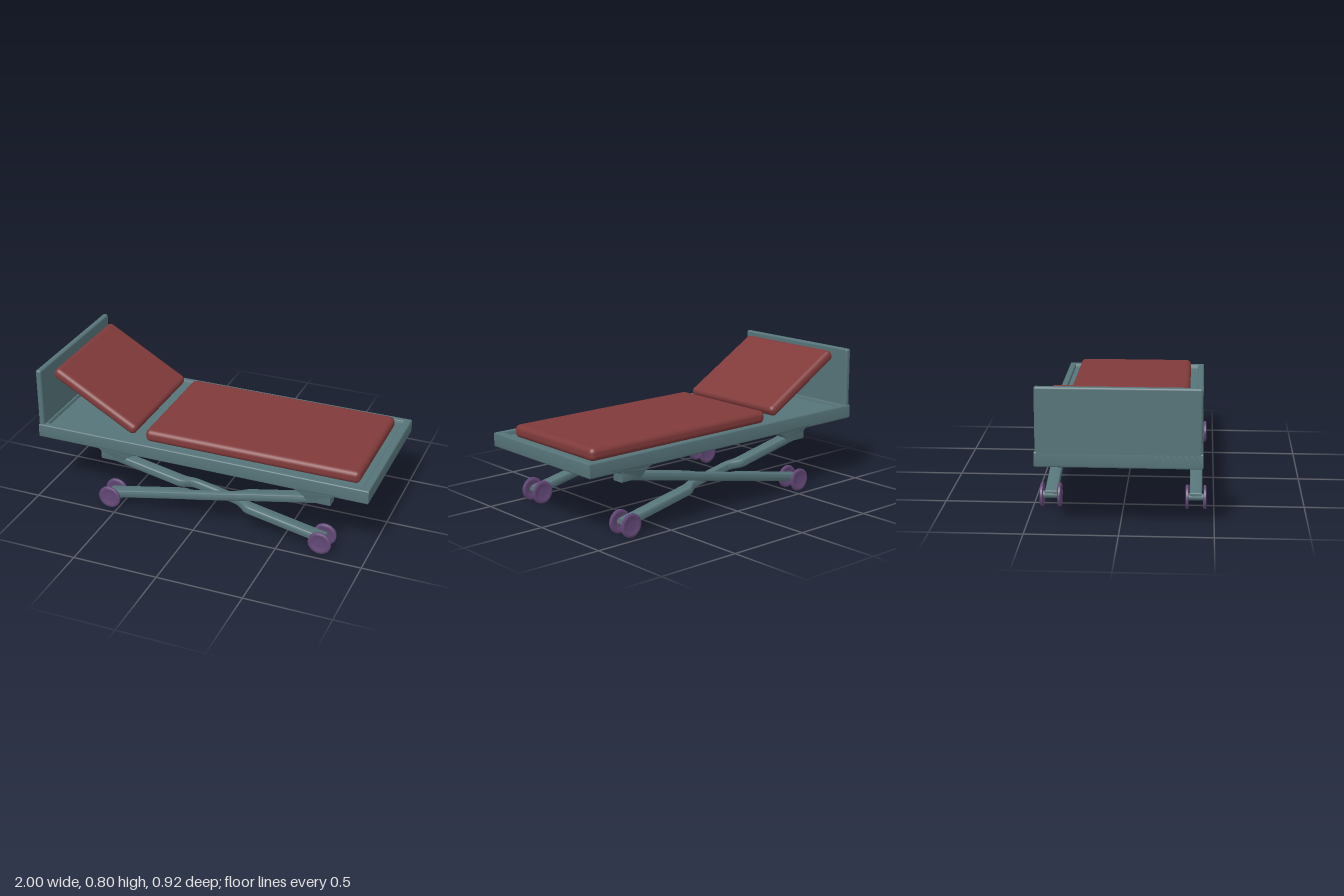
import * as THREE from 'three';
import { RoundedBoxGeometry } from 'three/addons/geometries/RoundedBoxGeometry.js';
import { toCreasedNormals } from 'three/addons/utils/BufferGeometryUtils.js';

const steel = new THREE.MeshStandardMaterial({ color: 0x567479 });
const padding = new THREE.MeshStandardMaterial({ color: 0x803a3a });
const rubber = new THREE.MeshStandardMaterial({ color: 0x634876 });

function add(parent, name, geometry, material, x = 0, y = 0, z = 0) {
  const mesh = new THREE.Mesh(geometry, material);
  mesh.name = name;
  mesh.position.set(x, y, z);
  parent.add(mesh);
  return mesh;
}

const rounded = (w, h, d, r) => new RoundedBoxGeometry(w, h, d, 4, r);

// Extrusion centred on its depth, with rounded edges kept inside the outline
function extrude(shape, depth, bevel) {
  const g = new THREE.ExtrudeGeometry(shape, {
    depth: depth - 2 * bevel, bevelSize: bevel, bevelThickness: bevel,
    bevelOffset: -bevel, bevelSegments: 4, curveSegments: 8,
  });
  g.translate(0, 0, bevel - depth / 2);
  return toCreasedNormals(g, 0.7);
}

function rectPath(path, x0, x1, z) {
  path.moveTo(x0, -z);
  path.lineTo(x1, -z);
  path.lineTo(x1, z);
  path.lineTo(x0, z);
  path.closePath();
  return path;
}

// Plan outline of a leg: full width at the ends, stepped aside at the crossing
function legGeometry(midInner, midOuter) {
  const inner = 0.365, outer = 0.435, end = 0.675;
  const s = new THREE.Shape();
  s.moveTo(-end, inner);
  s.lineTo(-0.22, inner);
  s.bezierCurveTo(-0.17, inner, -0.17, midInner, -0.11, midInner);
  s.lineTo(0.11, midInner);
  s.bezierCurveTo(0.17, midInner, 0.17, inner, 0.22, inner);
  s.lineTo(end, inner);
  s.lineTo(end, outer);
  s.lineTo(0.22, outer);
  s.bezierCurveTo(0.17, outer, 0.17, midOuter, 0.11, midOuter);
  s.lineTo(-0.11, midOuter);
  s.bezierCurveTo(-0.17, midOuter, -0.17, outer, -0.22, outer);
  s.lineTo(-end, outer);
  s.closePath();
  return extrude(s, 0.048, 0.012).rotateX(Math.PI / 2);
}

// Side profile of a leg bracket, flaring into the frame
function bracketGeometry() {
  const s = new THREE.Shape();
  s.moveTo(-0.17, 0.07);
  s.quadraticCurveTo(-0.093, 0.065, -0.093, 0.04);
  s.lineTo(-0.093, 0);
  s.lineTo(0.04, 0);
  s.quadraticCurveTo(0.07, 0.05, 0.15, 0.07);
  s.closePath();
  return extrude(s, 0.077, 0.006);
}

// Dished wheel disc turned about the z axis
function wheelGeometry() {
  const r = 0.067, t = 0.009;
  const half = [[0, 0.004], [0.022, 0.004], [0.04, 0.005], [0.05, t], [0.062, t], [r, 0.005]];
  const points = half.map(([x, y]) => new THREE.Vector2(x, -y))
    .concat(half.slice().reverse().map(([x, y]) => new THREE.Vector2(x, y)));
  return toCreasedNormals(new THREE.LatheGeometry(points, 32).rotateX(Math.PI / 2), 0.8);
}

export function createModel() {
  const bed = new THREE.Group();
  bed.name = 'adjustableBed';

  // Shallow tray frame with a raised rim
  add(bed, 'framePlatform', rounded(1.99, 0.06, 0.865, 0.012), steel, 0, 0.4, 0);
  const rim = rectPath(new THREE.Shape(), -1, 1, 0.437);
  rim.holes.push(rectPath(new THREE.Path(), -0.955, 0.955, 0.4));
  const rimMesh = add(bed, 'frameRim', extrude(rim, 0.083, 0.008), steel, 0, 0.41, 0);
  rimMesh.rotation.x = -Math.PI / 2;
  add(bed, 'headboard', rounded(0.034, 0.425, 0.865, 0.012), steel, -0.983, 0.5845, 0);

  // Cushions
  add(bed, 'mattress', rounded(1.28, 0.075, 0.71, 0.03), padding, 0.282, 0.463, 0);
  const back = add(bed, 'backrest', rounded(0.585, 0.066, 0.71, 0.028), padding, -0.672, 0.618, 0);
  back.rotation.z = -Math.PI / 6;

  // Undercarriage, built on the left-hand z side and mirrored
  const legs = [
    { geometry: legGeometry(0.345, 0.39), slope: -1 },
    { geometry: legGeometry(0.392, 0.438), slope: 1 },
  ];
  const bracket = bracketGeometry();
  const wheel = wheelGeometry();
  const axle = new THREE.CylinderGeometry(0.02, 0.02, 0.1, 20).rotateX(Math.PI / 2);
  for (const side of [1, -1]) {
    const carriage = new THREE.Group();
    carriage.name = side > 0 ? 'frontUndercarriage' : 'backUndercarriage';
    carriage.scale.z = side;
    bed.add(carriage);
    for (const { geometry, slope } of legs) {
      const leg = add(carriage, 'crossedLeg', geometry, steel, 0.095, 0.206, 0);
      leg.rotation.z = slope * Math.atan2(0.262, 1.29);
      const mount = add(carriage, 'legBracket', bracket, steel, 0.095 + slope * 0.6, 0.31, 0.4);
      mount.scale.x = -slope;
    }
    for (const x of [-0.55, 0.74]) {
      add(carriage, 'axle', axle, steel, x, 0.067, 0.401);
      for (const z of [0.352, 0.45]) add(carriage, 'wheel', wheel, rubber, x, 0.067, z);
    }
  }
  return bed;
}
